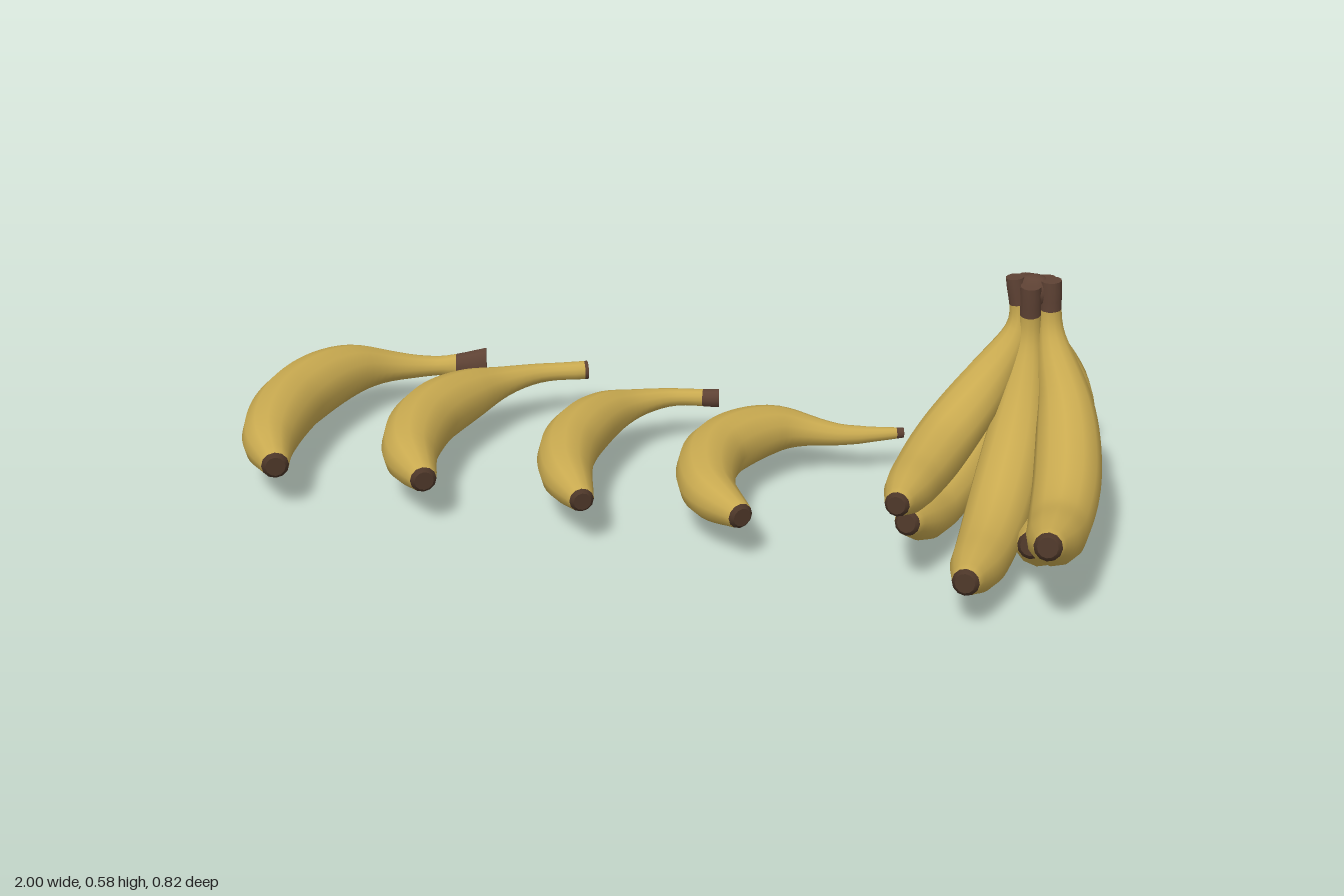
import * as THREE from 'three';

const SIDES = 12;
const STEM_RINGS = 3;
const BODY_RINGS = 36;

// Relative thickness from stem to tip, evenly spaced along the fruit
const LONG_NECK = [0.33, 0.3, 0.47, 0.8, 0.97, 1, 0.94, 0.77, 0.41];
const SHORT_NECK = [0.31, 0.36, 0.64, 0.88, 0.98, 0.98, 0.9, 0.77, 0.41];

function flat(name, color) {
  const material = new THREE.MeshStandardMaterial({ color });
  material.name = name;
  return material;
}
const peel = flat('yellow peel', 0xc9aa50);
const stemBrown = flat('brown stem', 0x5e4234);
const tipBrown = flat('dark tip', 0x4c3628);

// Sweeps a round section along a path, stem first. The part up to stemPart is
// brown stem and a short dark disc closes the tip. flare widens the stem end.
function banana({ name, path, ref, radius, profile, stemPart, flare = [1, 1] }) {
  const curve = new THREE.CatmullRomCurve3(path);
  const thickness = new THREE.CatmullRomCurve3(
    profile.map((v) => new THREE.Vector3(v * radius, 0, 0)), false, 'catmullrom', 0.5);
  const pos = [];
  const idx = [];

  const addRing = (u, beyond = 0, shrink = 1) => {
    const T = curve.getTangentAt(u);
    const S = new THREE.Vector3().crossVectors(ref, T).normalize();
    const N = new THREE.Vector3().crossVectors(T, S);
    const c = curve.getPointAt(u).addScaledVector(T, beyond);
    const r = thickness.getPoint(u).x * shrink;
    const f = Math.max(0, 1 - u / 0.125);
    const w = r * (1 + (flare[0] - 1) * f);
    const h = r * (1 + (flare[1] - 1) * f);
    for (let j = 0; j < SIDES; j++) {
      const a = (j / SIDES) * Math.PI * 2;
      const p = c.clone().addScaledVector(S, Math.cos(a) * w).addScaledVector(N, Math.sin(a) * h);
      pos.push(...p.toArray());
    }
    return c;
  };
  const addCap = (flip, ...ring) => {
    const base = pos.length / 3;
    const centre = addRing(...ring);
    pos.push(...centre.toArray());
    for (let j = 0; j < SIDES; j++) {
      const a = base + j;
      const b = base + ((j + 1) % SIDES);
      idx.push(base + SIDES, flip ? b : a, flip ? a : b);
    }
  };
  const addBand = (i) => {
    for (let j = 0; j < SIDES; j++) {
      const a = i * SIDES + j;
      const b = i * SIDES + ((j + 1) % SIDES);
      idx.push(a, b, a + SIDES, b, b + SIDES, a + SIDES);
    }
  };

  const tip = [1, 0.009, 0.72];
  for (let i = 0; i < STEM_RINGS; i++) addRing((stemPart * i) / STEM_RINGS);
  for (let i = 0; i < BODY_RINGS; i++) addRing(stemPart + ((1 - stemPart) * i) / BODY_RINGS);
  addRing(1);
  addRing(...tip);

  addCap(true, 0);
  for (let i = 0; i < STEM_RINGS; i++) addBand(i);
  const stemEnd = idx.length;
  for (let i = 0; i < BODY_RINGS; i++) addBand(STEM_RINGS + i);
  const bodyEnd = idx.length;
  addBand(STEM_RINGS + BODY_RINGS);
  addCap(false, ...tip);

  const geo = new THREE.BufferGeometry();
  geo.setAttribute('position', new THREE.Float32BufferAttribute(pos, 3));
  geo.setIndex(idx);
  geo.computeVertexNormals();
  geo.addGroup(0, stemEnd, 0);
  geo.addGroup(stemEnd, bodyEnd - stemEnd, 1);
  geo.addGroup(bodyEnd, idx.length - bodyEnd, 2);
  const mesh = new THREE.Mesh(geo, [stemBrown, peel, tipBrown]);
  mesh.name = name;
  return mesh;
}

// A banana lying flat: [x, z] points, with its neck at neckY
function looseBanana(name, radius, neckY, stemPart, flare, points) {
  const path = points.map(([x, z], i) => new THREE.Vector3(x, i < 2 ? neckY : 0.13, z));
  const ref = new THREE.Vector3(0, 1, 0);
  return banana({ name, path, ref, radius, profile: LONG_NECK, stemPart, flare });
}

// A banana hanging from the crown: [x, y, z] points
function hangingBanana(name, radius, points) {
  const path = points.map((p) => new THREE.Vector3(...p));
  const ref = new THREE.Vector3(1, 0, 0);
  return banana({ name, path, ref, radius, profile: SHORT_NECK, stemPart: 0.08 });
}

export function createModel() {
  const model = new THREE.Group();
  model.name = 'bananas';

  // Loose bananas in a row
  model.add(
    looseBanana('looseBanana1', 0.077, 0.108, 0.08, [1.1, 1.8],
      [[-0.58, -0.39], [-0.73, -0.335], [-0.86, -0.225], [-0.92, -0.03], [-0.89, 0.19], [-0.82, 0.315]]),
    looseBanana('looseBanana2', 0.074, 0.137, 0.01, [0.9, 0.9],
      [[-0.315, -0.378], [-0.43, -0.315], [-0.53, -0.2], [-0.585, -0.02], [-0.555, 0.16], [-0.475, 0.28]]),
    looseBanana('looseBanana3', 0.068, 0.133, 0.05, [0.8, 1],
      [[0.03, -0.328], [-0.09, -0.292], [-0.19, -0.185], [-0.222, -0.01], [-0.185, 0.145], [-0.105, 0.268]]),
    looseBanana('looseBanana4', 0.071, 0.112, 0.02, [0.45, 0.5],
      [[0.48, -0.32], [0.35, -0.267], [0.2, -0.215], [0.108, -0.06], [0.145, 0.13], [0.25, 0.235]]),
  );

  // Five bananas hanging from one crown
  const bunch = new THREE.Group();
  bunch.name = 'bunch';
  bunch.add(
    hangingBanana('rightUpperBanana', 0.067, [[0.745, 0.585, -0.2], [0.758, 0.47, -0.2],
      [0.7, 0.345, -0.145], [0.643, 0.258, -0.03], [0.62, 0.235, 0.13], [0.617, 0.254, 0.315]]),
    hangingBanana('leftUpperBanana', 0.075, [[0.825, 0.585, -0.205], [0.832, 0.46, -0.203],
      [0.885, 0.325, -0.13], [0.922, 0.225, 0.01], [0.938, 0.182, 0.17], [0.953, 0.238, 0.378]]),
    hangingBanana('centreBanana', 0.073, [[0.785, 0.575, -0.182], [0.785, 0.43, -0.192],
      [0.783, 0.25, -0.11], [0.781, 0.137, 0.04], [0.783, 0.106, 0.2], [0.786, 0.133, 0.388]]),
    hangingBanana('rightLowerBanana', 0.07, [[0.768, 0.575, -0.235], [0.758, 0.455, -0.235],
      [0.712, 0.295, -0.258], [0.66, 0.155, -0.17], [0.626, 0.1, 0], [0.612, 0.148, 0.19]]),
    hangingBanana('leftLowerBanana', 0.073, [[0.808, 0.575, -0.237], [0.813, 0.455, -0.238],
      [0.86, 0.29, -0.265], [0.874, 0.145, -0.175], [0.88, 0.075, 0], [0.88, 0.127, 0.172]]),
  );

  // Woody crown joining the stems
  const crown = new THREE.Mesh(new THREE.SphereGeometry(1, 10, 6), stemBrown);
  crown.name = 'crown';
  crown.scale.set(0.045, 0.038, 0.034);
  crown.position.set(0.786, 0.555, -0.209);
  bunch.add(crown);
  model.add(bunch);

  return model;
}
